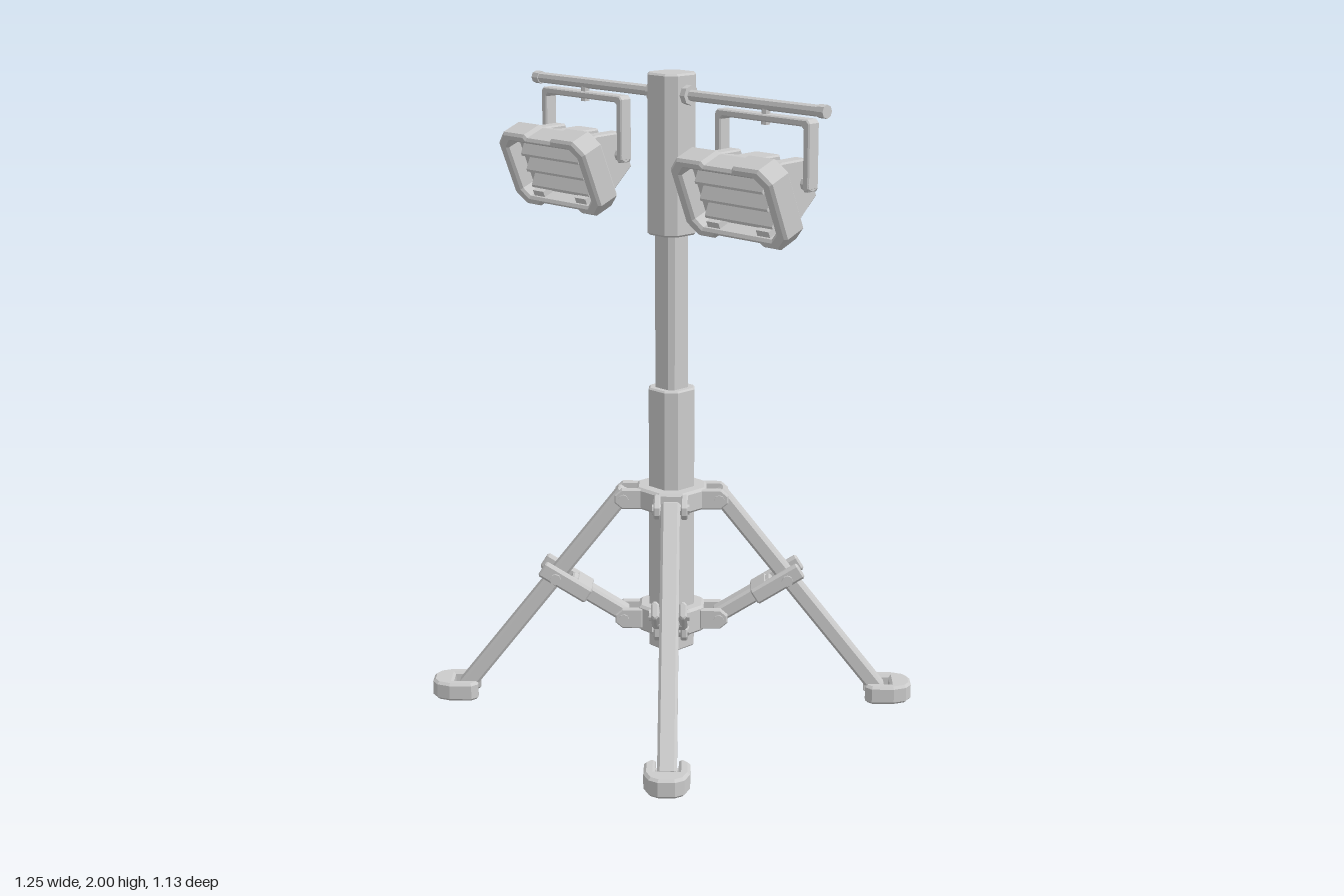
import * as THREE from 'three';

const grey = new THREE.MeshStandardMaterial({ color: 0xcccccc, flatShading: true });

function add(parent, name, geometry, x = 0, y = 0, z = 0) {
  const m = new THREE.Mesh(geometry, grey);
  m.name = name;
  m.position.set(x, y, z);
  parent.add(m);
  return m;
}

function group(parent, name) {
  const g = new THREE.Group();
  g.name = name;
  parent.add(g);
  return g;
}

const shapeOf = pts => new THREE.Shape(pts.map(p => new THREE.Vector2(p[0], p[1])));

// Rectangle with cut corners
function cutRect(w, h, c) {
  const x = w / 2, y = h / 2;
  return [[x, -y + c], [x, y - c], [x - c, y], [-x + c, y], [-x, y - c], [-x, -y + c], [-x + c, -y], [x - c, -y]];
}

// Extrusion from z = 0 to depth, keeping the outline size
function extrude(shape, depth, bevel = 0) {
  const g = new THREE.ExtrudeGeometry(shape, {
    depth: depth - 2 * bevel, bevelEnabled: bevel > 0, bevelSize: bevel,
    bevelThickness: bevel, bevelOffset: -bevel, bevelSegments: 1, curveSegments: 8,
  });
  return g.translate(0, 0, bevel);
}

// Extrusion standing up along y
const upright = (pts, height, bevel) => extrude(shapeOf(pts), height, bevel).rotateX(-Math.PI / 2);

// Cut-corner bar between two points of the xy plane
function bar(parent, name, a, b, thick, wide, z = 0) {
  const dx = b[0] - a[0], dy = b[1] - a[1];
  const m = add(parent, name, upright(cutRect(thick, wide, 0.008), Math.hypot(dx, dy), 0.005), a[0], a[1], z);
  m.rotation.z = Math.atan2(-dx, dy);
  return m;
}

// Pin lying along z
const pin = (r, len) => new THREE.CylinderGeometry(r, r, len, 8).rotateX(Math.PI / 2);

function buildMast(parent) {
  const mast = group(parent, 'mast');
  add(mast, 'lowerTube', upright(cutRect(0.13, 0.13, 0.03), 0.85, 0.005), 0, 0.18, 0);
  add(mast, 'innerTube', upright(cutRect(0.086, 0.086, 0.015), 0.52), 0, 1.01, 0);
  add(mast, 'topSleeve', upright(cutRect(0.13, 0.13, 0.028), 0.49, 0.006), 0, 1.51, 0);
  add(mast, 'upperCollar', upright(cutRect(0.21, 0.21, 0.055), 0.07, 0.008), 0, 0.643, 0);
  add(mast, 'lowerCollar', upright(cutRect(0.2, 0.2, 0.055), 0.085, 0.008), 0, 0.237, 0);
}

// One leg, laid out along +x and turned into place
function buildLeg(parent, angle) {
  const leg = group(parent, 'leg');
  leg.rotation.y = angle;

  bar(leg, 'legBar', [0.145, 0.692], [0.665, 0.03], 0.05, 0.058);
  bar(leg, 'brace', [0.145, 0.28], [0.325, 0.392], 0.05, 0.054);

  // Hinge ears on both collars
  for (const y of [0.677, 0.28]) {
    for (const s of [-1, 1]) {
      const ear = shapeOf([[0.09, -0.032], [0.155, -0.032], [0.178, -0.012], [0.178, 0.012], [0.155, 0.032], [0.09, 0.032]]);
      add(leg, 'hingeEar', extrude(ear, 0.021, 0.004), 0, y, s * 0.042 - 0.0105);
    }
    add(leg, 'hingePin', pin(0.016, 0.115), 0.15, y, 0);
  }

  // Fork gripping the leg
  for (const s of [-1, 1]) bar(leg, 'forkPlate', [0.262, 0.353], [0.408, 0.444], 0.054, 0.024, s * 0.042);
  bar(leg, 'forkBridge', [0.262, 0.353], [0.312, 0.384], 0.054, 0.1);
  add(leg, 'forkPin', pin(0.018, 0.122), 0.366, 0.412, 0);

  // Foot with an inner slot for the leg end
  const foot = [[0.62, 0.05], [0.62, 0.034], [0.7, 0.034], [0.7, -0.034], [0.62, -0.034], [0.62, -0.05],
    [0.64, -0.068], [0.71, -0.068], [0.75, -0.052], [0.767, -0.025], [0.767, 0.025], [0.75, 0.052], [0.71, 0.068], [0.64, 0.068]];
  add(leg, 'foot', upright(foot, 0.06, 0.008));
  add(leg, 'footPin', pin(0.012, 0.12), 0.655, 0.035, 0);
}

// Slice of the tapered lamp housing between two x positions
function housingSlice(parent, x0, x1, back, half, bevel) {
  const side = shapeOf([[-0.03, -0.1], [-0.03, 0.1], [-0.07, 0.095], [back, half], [back, -half], [-0.07, -0.095]]);
  add(parent, 'housing', extrude(side, x1 - x0, bevel).rotateY(-Math.PI / 2), x1, 0, 0);
}

function buildLamp(parent, x) {
  const unit = group(parent, 'lampUnit');
  unit.position.x = x;

  // Yoke hanging from the crossbar
  const yoke = shapeOf([[-0.188, 1.715], [-0.182, 1.705], [-0.17, 1.705], [-0.164, 1.715], [-0.164, 1.882], [-0.156, 1.89],
    [0.156, 1.89], [0.164, 1.882], [0.164, 1.715], [0.17, 1.705], [0.182, 1.705], [0.188, 1.715], [0.188, 1.9], [0.178, 1.911],
    [-0.178, 1.911], [-0.188, 1.9]]);
  add(unit, 'yoke', extrude(yoke, 0.044, 0.004), 0, 0, -0.023);
  add(unit, 'yokeBolt', new THREE.CylinderGeometry(0.013, 0.013, 0.06, 8), 0, 1.91, 0);
  for (const s of [-1, 1]) {
    add(unit, 'pivot', new THREE.CylinderGeometry(0.02, 0.02, 0.045, 8).rotateZ(Math.PI / 2), s * 0.165, 1.727, 0);
  }

  // Lamp head tilted downwards
  const head = group(unit, 'lampHead');
  head.position.set(0, 1.68, 0.119);
  head.rotation.x = 0.384;

  const w = 0.203, h = 0.128, c = 0.04, d = 0.011;
  const frame = shapeOf([[w, -h + c], [w, h - c], [w - c, h], [0.065, h], [0.055, h - d], [-0.055, h - d], [-0.065, h],
    [-w + c, h], [-w, h - c], [-w, -h + c], [-w + c, -h], [-0.1, -h], [-0.088, -h + d], [0.088, -h + d], [0.1, -h], [w - c, -h]]);
  frame.holes.push(new THREE.Path(cutRect(0.325, 0.195, 0.025).reverse().map(p => new THREE.Vector2(p[0], p[1]))));
  add(head, 'frame', extrude(frame, 0.083, 0.008), 0, 0, -0.0415);
  add(head, 'reflector', new THREE.BoxGeometry(0.34, 0.21, 0.02), 0, 0, -0.022);

  // Wedge-shaped light strips and lower tabs
  for (const y of [0.058, 0.002, -0.054]) {
    const strip = shapeOf([[-0.015, -0.02], [0.018, -0.02], [0.018, -0.012], [-0.015, 0.022]]);
    add(head, 'lightStrip', extrude(strip, 0.27).rotateY(-Math.PI / 2), 0.135, y, 0);
  }
  for (const s of [-1, 1]) add(head, 'frameTab', new THREE.BoxGeometry(0.05, 0.022, 0.035), s * 0.1, -0.09, 0.01);

  // Housing with two recessed bands
  housingSlice(head, -0.155, -0.105, -0.163, 0.06, 0.005);
  housingSlice(head, -0.108, -0.047, -0.148, 0.05, 0);
  housingSlice(head, -0.05, 0.05, -0.163, 0.06, 0.005);
  housingSlice(head, 0.047, 0.108, -0.148, 0.05, 0);
  housingSlice(head, 0.105, 0.155, -0.163, 0.06, 0.005);
}

export function createModel() {
  const model = new THREE.Group();
  model.name = 'workLightTripod';
  buildMast(model);
  for (let i = 0; i < 4; i++) buildLeg(model, Math.PI / 4 + i * Math.PI / 2);

  // Crossbar with a flange and rounded end on each side
  const along = g => g.rotateZ(Math.PI / 2);
  add(model, 'crossbar', along(new THREE.CylinderGeometry(0.017, 0.017, 1.23, 8)), 0, 1.937, 0);
  for (const s of [-1, 1]) {
    add(model, 'crossbarFlange', along(new THREE.CylinderGeometry(0.03, 0.03, 0.03, 8)), s * 0.07, 1.937, 0);
    add(model, 'crossbarCap', along(new THREE.CylinderGeometry(0.02, 0.02, 0.028, 8)), s * 0.612, 1.937, 0);
    buildLamp(model, s * 0.39);
  }
  return model;
}
